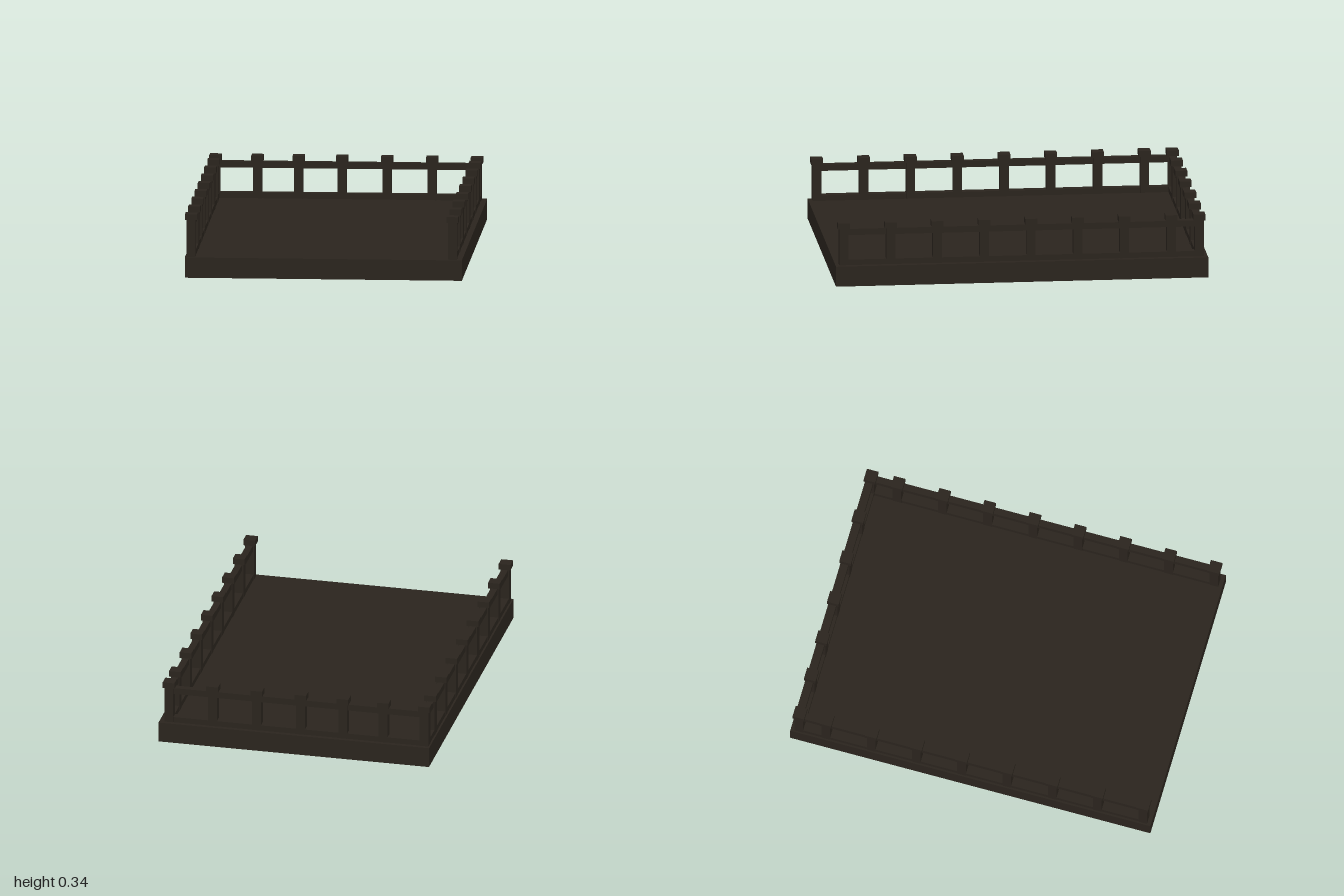
import * as THREE from 'three';

export function createModel() {
  const model = new THREE.Group();
  model.name = 'railedDeck';
  const wood = new THREE.MeshStandardMaterial({ color: 0x2a241d });

  // Box given by its size, its centre and the height of its underside
  function box(name, w, h, d, x, bottom, z, parent = model) {
    const mesh = new THREE.Mesh(new THREE.BoxGeometry(w, h, d), wood);
    mesh.name = name;
    mesh.position.set(x, bottom + h / 2, z);
    parent.add(mesh);
  }

  const deckTop = 0.11, postTop = 0.31;
  const leftX = 0.69, rightX = -0.71, backZ = -0.955, frontZ = 0.955;

  // Solid deck
  box('deck', 1.484, deckTop, 2, 0, 0, 0);

  // Square post with a wider cap
  function addPost(x, z) {
    const post = new THREE.Group();
    post.name = 'post';
    box('postShaft', 0.048, postTop - deckTop, 0.048, 0, deckTop, 0, post);
    box('postCap', 0.064, 0.032, 0.064, 0, postTop, 0, post);
    post.position.set(x, 0, z);
    model.add(post);
  }

  // Side posts, corners included
  const sideZ = [frontZ, 0.703, 0.452, 0.2, -0.051, -0.302, -0.553, -0.805, backZ];
  for (const x of [rightX, leftX]) for (const z of sideZ) addPost(x, z);

  // Back posts between the corners
  for (const x of [-0.485, -0.264, -0.032, 0.209, 0.451]) addPost(x, backZ);

  // Lower and upper rails on three sides; the front stays open
  const rails = [
    { name: 'lowerRail', bottom: deckTop, height: 0.03, depth: 0.044 },
    { name: 'upperRail', bottom: 0.274, height: 0.034, depth: 0.036 },
  ];
  for (const { name, bottom, height, depth } of rails) {
    for (const x of [rightX, leftX]) {
      box(name, depth, height, frontZ - backZ, x, bottom, 0);
    }
    box(name, leftX - rightX, height, depth, (leftX + rightX) / 2, bottom, backZ);
  }

  return model;
}
